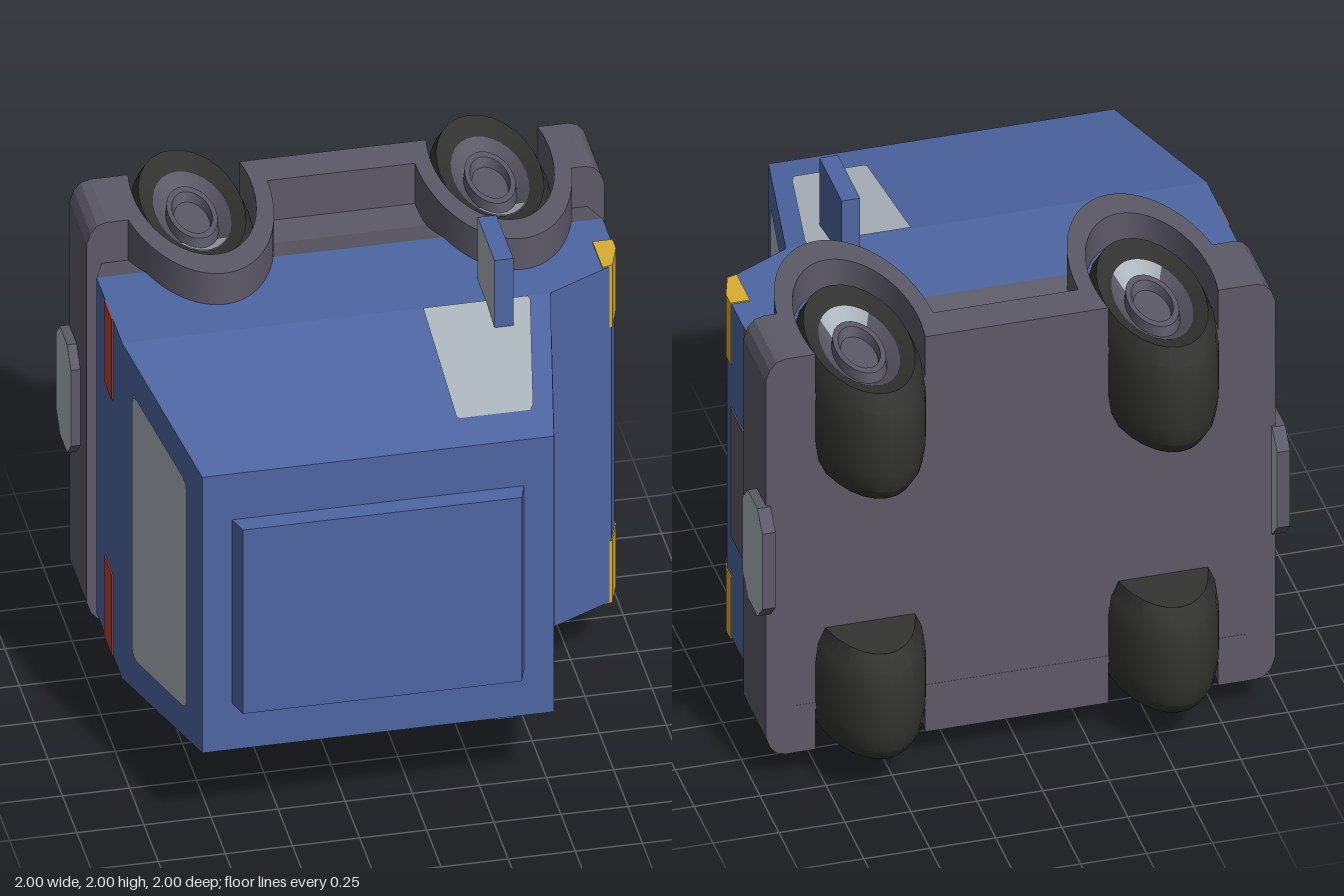
import * as THREE from 'three';
import { toCreasedNormals } from 'three/addons/utils/BufferGeometryUtils.js';

const mat = (name, color, side = THREE.FrontSide) => {
  const m = new THREE.MeshStandardMaterial({ color, side });
  m.name = name;
  return m;
};

export function createModel() {
  const blue = mat('blue paint', 0x4e66a3);
  const grey = mat('dark grey trim', 0x5d5a68);
  const black = mat('tyre black', 0x333331);
  const light = mat('pale glass', 0xadb5bd, THREE.DoubleSide);
  const yellow = mat('lamp yellow', 0xd8ad33);
  const red = mat('lamp red', 0xb54436);

  const add = (parent, name, geo, material) => {
    const m = new THREE.Mesh(geo, material);
    m.name = name;
    parent.add(m);
    return m;
  };
  const shapeOf = pts => new THREE.Shape(pts.map(p => new THREE.Vector2(p[0], p[1])));
  const box = (x0, x1, y0, y1, z0, z1) => new THREE.BoxGeometry(x1 - x0, y1 - y0, z1 - z0)
    .translate((x0 + x1) / 2, (y0 + y1) / 2, (z0 + z1) / 2);
  // Side profile in x, y extruded across the width
  const across = (shape, z0, z1) => new THREE.ExtrudeGeometry(shape,
    { depth: z1 - z0, bevelEnabled: false, curveSegments: 20 }).translate(0, 0, z0);
  // Tapered box: each level is [y, xBack, xFront, halfWidth]
  const taper = (lo, hi) => {
    const g = new THREE.BoxGeometry(1, 1, 1).toNonIndexed(), p = g.attributes.position;
    for (let i = 0; i < p.count; i++) {
      const s = p.getY(i) < 0 ? lo : hi;
      p.setXYZ(i, p.getX(i) < 0 ? s[1] : s[2], s[0], Math.sign(p.getZ(i)) * s[3]);
    }
    g.computeVertexNormals();
    return g;
  };
  // Flat pane: outline points placed on a sloping wall by a rule
  const pane = (pts, place) => {
    const g = new THREE.ShapeGeometry(shapeOf(pts)), p = g.attributes.position;
    for (let i = 0; i < p.count; i++) p.setXYZ(i, ...place(p.getX(i), p.getY(i)));
    g.computeVertexNormals();
    return g;
  };

  // The car is built upright (nose +x, roof +y), then laid on its side
  const car = new THREE.Group();
  car.name = 'car';

  // Body
  add(car, 'lowerBody', across(shapeOf([[-0.96, -0.26], [0.925, -0.26], [0.925, -0.05],
    [0.89, 0.055], [0.635, 0.185], [-0.96, 0.185]]), -0.73, 0.73), blue);
  add(car, 'cabin', taper([0.185, -0.96, 0.635, 0.73], [0.925, -0.82, 0.49, 0.6]), blue);
  add(car, 'roofPanel', taper([0.92, -0.71, 0.38, 0.4], [1, -0.685, 0.355, 0.4]), blue);
  add(car, 'skirt', taper([-0.41, -0.91, 0.9, 0.69], [-0.26, -0.96, 0.925, 0.73]), grey);
  add(car, 'chassis', box(-0.9, 0.9, -0.704, -0.41, -0.69, 0.69), grey);
  add(car, 'grille', across(shapeOf([[0.85, -0.41], [0.915, -0.41], [0.931, -0.26],
    [0.931, -0.11], [0.85, -0.11]]), -0.28, 0.28), grey);

  // Front and rear windows
  const slope = y => (y - 0.185) / 0.74;
  const symmetric = half => [...half, ...half.map(([z, y]) => [-z, y]).reverse()];
  add(car, 'windscreen', pane(symmetric([[0.6, 0.19], [0.515, 0.75], [0.5, 0.785], [0.48, 0.795]]),
    (z, y) => [0.639 - 0.145 * slope(y), y, z]), light);
  add(car, 'rearWindow', pane(symmetric([[0.53, 0.285], [0.56, 0.295], [0.57, 0.33],
    [0.5, 0.75], [0.485, 0.78], [0.46, 0.79]]),
    (z, y) => [-0.964 + 0.14 * slope(y), y, z]), light);

  // Bumpers with an eight-sided plate, front and back
  const half = [[0.85, 0.865], [0.89, 0.865], [0.925, 0.855], [0.95, 0.825], [0.965, 0.78]];
  const plan = [...half, ...half.map(([x, z]) => [x, -z]).reverse()];
  const plate = [[0.235, 0.065], [0.165, 0.13], [-0.165, 0.13], [-0.235, 0.065],
    [-0.235, -0.065], [-0.165, -0.13], [0.165, -0.13], [0.235, -0.065]];
  for (const end of ['front', 'rear']) {
    const g = new THREE.Group();
    g.name = end + 'BumperGroup';
    add(g, 'bumper', new THREE.ExtrudeGeometry(shapeOf(plan), { depth: 0.295, bevelEnabled: false })
      .rotateX(Math.PI / 2).translate(0, -0.41, 0), grey);
    add(g, 'bumperPlate', new THREE.ExtrudeGeometry(shapeOf(plate), { depth: 0.05, bevelEnabled: false })
      .rotateY(Math.PI / 2).translate(0.95, -0.65, 0), [light, grey]);
    if (end === 'rear') g.rotation.y = Math.PI;
    car.add(g);
  }

  // Everything that is mirrored across the car
  const side = new THREE.Group();
  side.name = 'nearSide';
  const wheelX = [0.57, -0.54], wheelY = -0.56;

  // Side sill with two tall arches and open wheel cut-outs
  const sill = new THREE.Shape();
  const top = Math.asin(0.15 / 0.57), low = Math.asin(0.145 / 0.44);
  sill.moveTo(0.89, -0.705);
  sill.lineTo(0.89, -0.41);
  sill.absellipse(wheelX[0], wheelY, 0.28, 0.57, top, Math.PI, false, 0);
  sill.absellipse(wheelX[1], wheelY, 0.28, 0.57, 0, Math.PI - top, false, 0);
  sill.lineTo(-0.89, -0.41);
  sill.lineTo(-0.89, -0.705);
  for (const x of [wheelX[1], wheelX[0]])
    sill.absellipse(x, wheelY, 0.22, 0.44, Math.PI + low, -low, true, 0);
  add(side, 'fenders', toCreasedNormals(across(sill, 0.66, 0.865), 0.6), grey);

  // Wheels: lathed, turned sideways and stretched upwards
  const lathe = (pts, start = 0, len = Math.PI * 2) => toCreasedNormals(new THREE.LatheGeometry(
    pts.map(p => new THREE.Vector2(p[0], p[1])), 28, start, len)
    .rotateX(Math.PI / 2).scale(1, 2, 1), 0.5);
  wheelX.forEach((x, i) => {
    const w = new THREE.Group();
    w.name = i ? 'rearWheel' : 'frontWheel';
    w.position.set(x, wheelY, 0);
    add(w, 'tyre', lathe([[0, 0.34], [0.185, 0.34], [0.185, 0.341], [0.21, 0.4], [0.22, 0.48],
      [0.22, 0.66], [0.21, 0.74], [0.185, 0.8], [0.135, 0.77]]), black);
    add(w, 'rim', lathe([[0.135, 0.77], [0.092, 0.725], [0.088, 0.765], [0.07, 0.765],
      [0.062, 0.73], [0, 0.73]]), grey);
    add(w, 'rimGlint', lathe([[0.134, 0.773], [0.094, 0.731]], Math.PI - 0.75, 1.5), light);
    side.add(w);
  });

  // Side window, mirror and lamps
  add(side, 'sideWindow', pane([[0.16, 0.19], [0.55, 0.19], [0.555, 0.21], [0.45, 0.75],
    [0.435, 0.78], [0.17, 0.78], [0.16, 0.77]],
    (x, y) => [x, y, 0.734 - 0.13 * slope(y)]), light);
  add(side, 'mirror', box(0.395, 0.465, 0.04, 0.335, 0.69, 1), [blue, light, blue, blue, blue, blue]);
  add(side, 'headlamp', across(shapeOf([[0.855, -0.11], [0.93, -0.11], [0.93, -0.05],
    [0.894, 0.056], [0.855, 0.066]]), 0.465, 0.735), yellow);
  add(side, 'tailLamp', box(-0.965, -0.957, -0.11, 0.025, 0.38, 0.73), red);

  const other = side.clone();
  other.name = 'farSide';
  other.scale.z = -1;
  car.add(side, other);

  car.rotation.x = Math.PI / 2;
  car.position.y = 1;
  const model = new THREE.Group();
  model.name = 'overturnedCar';
  model.add(car);
  return model;
}
